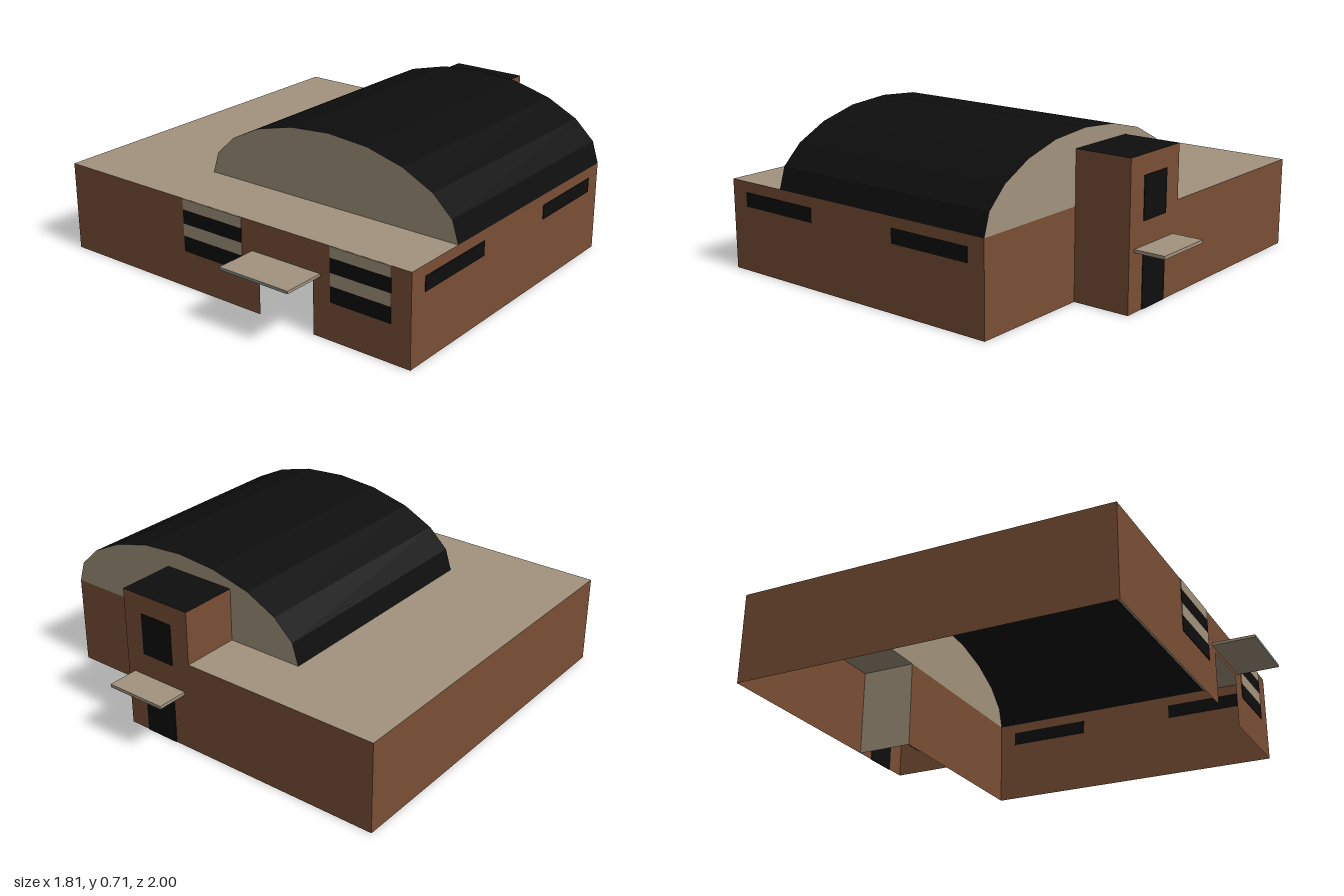
import * as THREE from 'three';

const material = (name, color) =>
  new THREE.MeshStandardMaterial({ name, color, side: THREE.DoubleSide });

export function createModel() {
  const brick = material('brown brick', 0x7a4f36);
  const stone = material('tan stone', 0xa2937d);
  const black = material('black', 0x0e0e0e);
  const trim = material('grey green trim', 0x82908a);
  const model = new THREE.Group();

  const add = (name, geometry, mat, x = 0, y = 0, z = 0) => {
    const mesh = new THREE.Mesh(geometry, mat);
    mesh.name = name;
    mesh.position.set(x, y, z);
    model.add(mesh);
    return mesh;
  };

  // Upright sheet from a to b (x, z), front facing right of the direction a to b seen from above
  const wall = (name, mat, [ax, az], [bx, bz], y0, y1) => {
    const g = new THREE.PlaneGeometry(Math.hypot(bx - ax, bz - az), y1 - y0);
    const m = add(name, g, mat, (ax + bx) / 2, (y0 + y1) / 2, (az + bz) / 2);
    m.rotation.y = Math.atan2(az - bz, bx - ax);
    return m;
  };

  // Level sheet facing up
  const slab = (name, mat, x0, x1, z0, z1, y) =>
    add(name, new THREE.PlaneGeometry(x1 - x0, z1 - z0).rotateX(-Math.PI / 2),
      mat, (x0 + x1) / 2, y, (z0 + z1) / 2);

  // Box given by its limits
  const box = (name, mat, x0, x1, y0, y1, z0, z1) =>
    add(name, new THREE.BoxGeometry(x1 - x0, y1 - y0, z1 - z0),
      mat, (x0 + x1) / 2, (y0 + y1) / 2, (z0 + z1) / 2);

  const W = 0.905, F = 0.81, B = -0.86, R = -0.6, H = 0.4, T = 0.635, TX = 0.345;

  // Front wall with an open doorway
  const front = new THREE.Shape([
    [-W, 0], [0.17, 0], [0.17, 0.24], [0.445, 0.24], [0.445, 0], [W, 0], [W, H], [-W, H],
  ].map(([x, y]) => new THREE.Vector2(x, y)));
  add('frontWall', new THREE.ShapeGeometry(front), brick, 0, 0, F);

  // Other outer walls
  wall('leftWall', brick, [W, F], [W, R], 0, H);
  wall('recessedBackWall', brick, [W, R], [TX, R], 0, H);
  wall('backWall', brick, [0, B], [-W, B], 0, H);
  wall('rightWall', brick, [-W, B], [-W, F], 0, H);

  // Stair tower
  wall('towerLeftWall', brick, [TX, R], [TX, B], 0, T);
  wall('towerBackWall', brick, [TX, B], [0, B], 0, T);
  wall('towerRightWall', brick, [0, B], [0, R], H, T);
  wall('towerInnerSide', stone, [0, B], [0, R], 0, H);
  wall('towerInnerWall', brick, [TX, R], [0, R], 0, H);
  slab('towerRoof', black, 0, TX, B, R, T);

  // Flat roof around the vault
  slab('sideRoof', stone, -W, -0.35, B, F, H);
  slab('frontRoof', stone, -0.35, W, 0.51, F, H);
  slab('backRoof', stone, -0.35, 0, B, R, H);

  // Barrel vault: one flat strip per facet, with a gable at each end
  const arch = [
    [-0.35, 0.4], [-0.32, 0.495], [-0.23, 0.58], [-0.09, 0.65], [0.09, 0.695], [0.28, 0.71],
    [0.475, 0.695], [0.645, 0.65], [0.785, 0.58], [0.875, 0.495], [W, 0.4],
  ];
  const z0 = R, z1 = 0.51, strips = [];
  for (let i = 0; i < arch.length - 1; i++) {
    const [ax, ay] = arch[i], [bx, by] = arch[i + 1];
    strips.push(ax, ay, z0, ax, ay, z1, bx, by, z1, ax, ay, z0, bx, by, z1, bx, by, z0);
  }
  const vault = new THREE.BufferGeometry();
  vault.setAttribute('position', new THREE.Float32BufferAttribute(strips, 3));
  vault.computeVertexNormals();
  add('vaultRoof', vault, black);
  const gable = new THREE.ShapeGeometry(
    new THREE.Shape(arch.map(([x, y]) => new THREE.Vector2(x, y))));
  add('frontGable', gable, stone, 0, 0, z1);
  add('backGable', gable, stone, 0, 0, z0).scale.z = 1;

  // Front window bays: alternating glass and stone bands, seen from both sides
  const t = 0.003;
  for (const [x0, x1] of [[-0.24, 0.08], [0.53, 0.815]]) {
    [[0.165, 0.235, black], [0.235, 0.29, stone], [0.29, 0.353, black], [0.353, 0.399, stone]]
      .forEach(([y0, y1, m]) =>
        box(m === black ? 'frontWindow' : 'windowBand', m, x0, x1, y0, y1, F - t, F + t));
  }

  // Side window strips
  for (const [a, b] of [[0.325, 0.725], [-0.52, -0.13]])
    box('sideWindow', black, W - t, W + t, 0.29, 0.353, a, b);

  // Tower window and doors
  box('towerWindow', black, 0.09, 0.25, 0.365, 0.55, B - t, B + t);
  box('towerDoor', black, 0.09, 0.25, 0, 0.245, B - t, B + t);
  box('towerInnerDoor', black, 0.01, 0.1, 0, 0.24, R - 2 * t, R - t);

  // Entrance canopies
  box('frontCanopy', [stone, stone, stone, stone, trim, stone], 0.135, 0.48, 0.258, 0.27, F, 1);
  box('backCanopy', stone, 0.03, 0.31, 0.25, 0.264, -1, B);

  return model;
}
